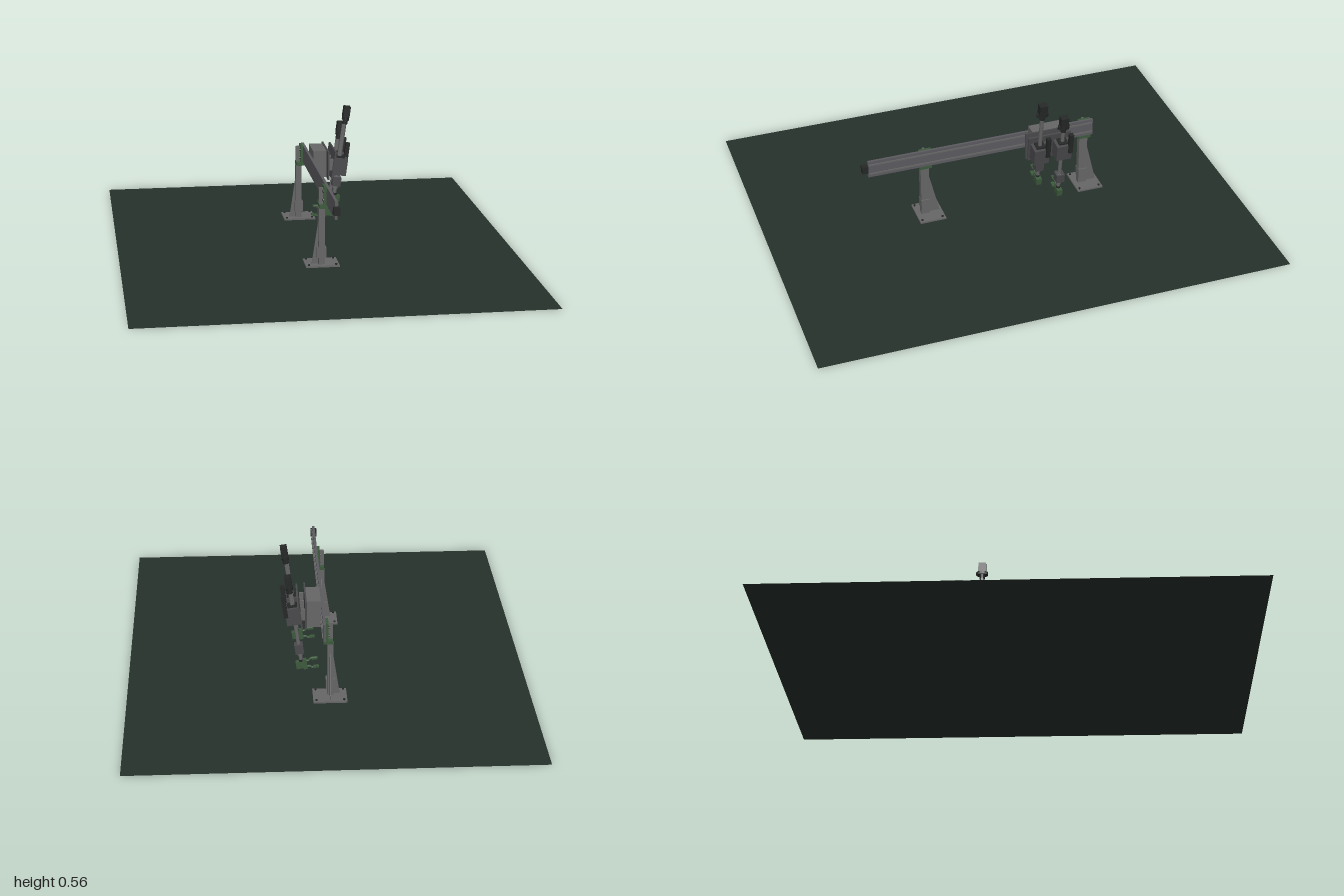
import * as THREE from 'three';

const mat = (color, side = THREE.FrontSide) =>
  new THREE.MeshStandardMaterial({ color, side, flatShading: true });
const M = {
  floor: mat(0x27312c, THREE.DoubleSide),
  steel: mat(0x666666),
  thin: mat(0x666666, THREE.DoubleSide),
  beam: mat(0x5c5c60),
  cover: mat(0x4a4a4d),
  dark: mat(0x262828),
  green: mat(0x3c5a3c),
};

function add(parent, name, geo, material, x = 0, y = 0, z = 0) {
  const m = new THREE.Mesh(geo, material);
  m.name = name;
  m.position.set(x, y, z);
  parent.add(m);
  return m;
}
// Box given by its min/max on each axis
function box(parent, name, material, [x0, x1], [y0, y1], [z0, z1]) {
  return add(parent, name, new THREE.BoxGeometry(x1 - x0, y1 - y0, z1 - z0), material,
    (x0 + x1) / 2, (y0 + y1) / 2, (z0 + z1) / 2);
}
// Upright cylinder between two heights
function rod(parent, name, material, r, y0, y1, sides = 16, x = 0, z = 0) {
  return add(parent, name, new THREE.CylinderGeometry(r, r, y1 - y0, sides), material, x, (y0 + y1) / 2, z);
}

// Triangular stiffener standing in the XY plane, reaching towards -x
function gusset(reach, height) {
  const s = new THREE.Shape();
  s.moveTo(0, 0);
  s.lineTo(0, height);
  s.lineTo(-reach, 0);
  s.closePath();
  const g = new THREE.ExtrudeGeometry(s, { depth: 0.004, bevelEnabled: false });
  g.translate(0, 0, -0.002);
  return g;
}

function createPost(z) {
  const post = new THREE.Group();
  post.name = 'supportPost';
  post.position.z = z;
  box(post, 'basePlate', M.steel, [-0.073, 0.066], [0.001, 0.008], [-0.073, 0.041]);
  box(post, 'column', M.steel, [-0.018, 0.007], [0.008, 0.247], [-0.0185, 0.0185]);
  box(post, 'collar', M.steel, [-0.025, 0.013], [0.035, 0.08], [-0.0175, 0.0195]);
  add(post, 'sideGusset', gusset(0.028, 0.185), M.steel, -0.017, 0.008, 0);
  const rear = add(post, 'rearGusset', gusset(0.046, 0.192), M.steel, -0.005, 0.008, -0.018);
  rear.rotation.y = -Math.PI / 2;
  // Angle bracket carrying the beam
  box(post, 'bracketFoot', M.green, [-0.016, 0.022], [0.246, 0.26], [-0.027, 0.027]);
  box(post, 'bracketBack', M.green, [0.002, 0.013], [0.26, 0.337], [-0.027, 0.027]);
  box(post, 'bracketRib', M.steel, [-0.016, 0.002], [0.26, 0.33], [-0.005, 0.005]);
  for (const y of [0.28, 0.317]) for (const s of [-1, 1]) {
    const bolt = rod(post, 'bracketBolt', M.dark, 0.005, y - 0.003, y + 0.003, 6, 0.001, s * 0.017);
    bolt.rotation.z = Math.PI / 2;
  }
  // Anchor bolts
  for (const x of [-0.06, 0.053]) for (const bz of [-0.06, 0.03])
    rod(post, 'anchorBolt', M.dark, 0.005, 0.008, 0.013, 6, x, bz);
  return post;
}

// Two-pronged gripper opening towards -x
function createGripper() {
  const g = new THREE.Group();
  g.name = 'gripper';
  box(g, 'palm', M.green, [-0.016, 0.024], [-0.015, 0.015], [-0.0115, 0.0115]);
  box(g, 'knuckle', M.green, [-0.022, -0.006], [-0.022, 0.022], [-0.009, 0.009]);
  for (const s of [-1, 1]) {
    const path = new THREE.CatmullRomCurve3([
      [-0.016, 0.015], [-0.03, 0.013], [-0.04, 0.021], [-0.066, 0.021],
    ].map(([x, y]) => new THREE.Vector3(x, s * y, 0)));
    add(g, 'finger', new THREE.TubeGeometry(path, 12, 0.0045, 8), M.green);
    box(g, 'fingertip', M.green, [-0.069, -0.045],
      s > 0 ? [0.016, 0.023] : [-0.023, -0.016], [-0.008, 0.008]);
  }
  return g;
}

// Tilted linear arm; drop slides its moving parts along the axis
function createArm(z, drop) {
  const arm = new THREE.Group();
  arm.name = 'pickingArm';
  arm.position.set(0.137, 0.3, z);
  arm.rotation.z = -0.14;
  box(arm, 'housing', M.cover, [-0.03, 0.032], [-0.037, 0.037], [-0.033, 0.033]);
  box(arm, 'housingCap', M.dark, [-0.02, 0.02], [0.037, 0.043], [-0.02, 0.02]);
  box(arm, 'driveMotor', M.dark, [0.022, 0.04], [0.0, 0.098], [-0.034, -0.016]);

  const slide = new THREE.Group();
  slide.name = 'slide';
  slide.position.y = -drop;
  arm.add(slide);
  rod(slide, 'shaft', M.steel, 0.008, -0.13, 0.2);
  box(slide, 'shaftRail', M.steel, [-0.011, -0.006], [0.03, 0.19], [-0.005, 0.005]);
  rod(slide, 'motorNeck', M.dark, 0.012, 0.185, 0.203);
  rod(slide, 'motorFlange', M.dark, 0.015, 0.203, 0.218).scale.z = 1.75;
  box(slide, 'topMotor', M.dark, [-0.014, 0.014], [0.216, 0.262], [-0.017, 0.017]);
  box(slide, 'wristMotor', M.cover, [-0.018, 0.018], [-0.09, -0.05], [-0.018, 0.018]);
  rod(slide, 'wristNeck', M.steel, 0.013, -0.1, -0.05);
  const gripper = createGripper();
  gripper.position.y = -0.146;
  slide.add(gripper);
  rod(slide, 'gripperMount', M.dark, 0.009, -0.134, -0.122);
  return arm;
}

export function createModel() {
  const model = new THREE.Group();
  model.name = 'gantryPicker';

  const floor = add(model, 'floor', new THREE.PlaneGeometry(1.65, 2), M.floor);
  floor.rotation.x = -Math.PI / 2;

  for (const z of [0.313, -0.4]) model.add(createPost(z));

  // Horizontal beam with end motor and guide rails
  box(model, 'beam', M.beam, [0.013, 0.024], [0.261, 0.337], [-0.434, 0.562]);
  for (const y of [0.275, 0.318])
    box(model, 'guideRail', M.steel, [0.024, 0.028], [y, y + 0.006], [-0.43, 0.558]);
  box(model, 'beamMotor', M.dark, [0.004, 0.03], [0.285, 0.316], [0.562, 0.588]);

  // Carriage riding on the beam
  const carriage = new THREE.Group();
  carriage.name = 'carriage';
  model.add(carriage);
  box(carriage, 'carriageBody', M.steel, [0.026, 0.084], [0.252, 0.368], [-0.28, -0.14]);
  box(carriage, 'carriagePlate', M.cover, [0.084, 0.091], [0.248, 0.372], [-0.3, -0.105]);
  const tilted = box(carriage, 'tiltedPlate', M.cover, [0.108, 0.115], [0.25, 0.37], [-0.295, -0.108]);
  tilted.rotation.z = -0.14;
  for (const z of [-0.28, -0.2, -0.125])
    box(carriage, 'spacer', M.steel, [0.09, 0.11], [0.285, 0.335], [z - 0.005, z + 0.005]);

  model.add(createArm(-0.15, 0), createArm(-0.25, 0.09));
  return model;
}
